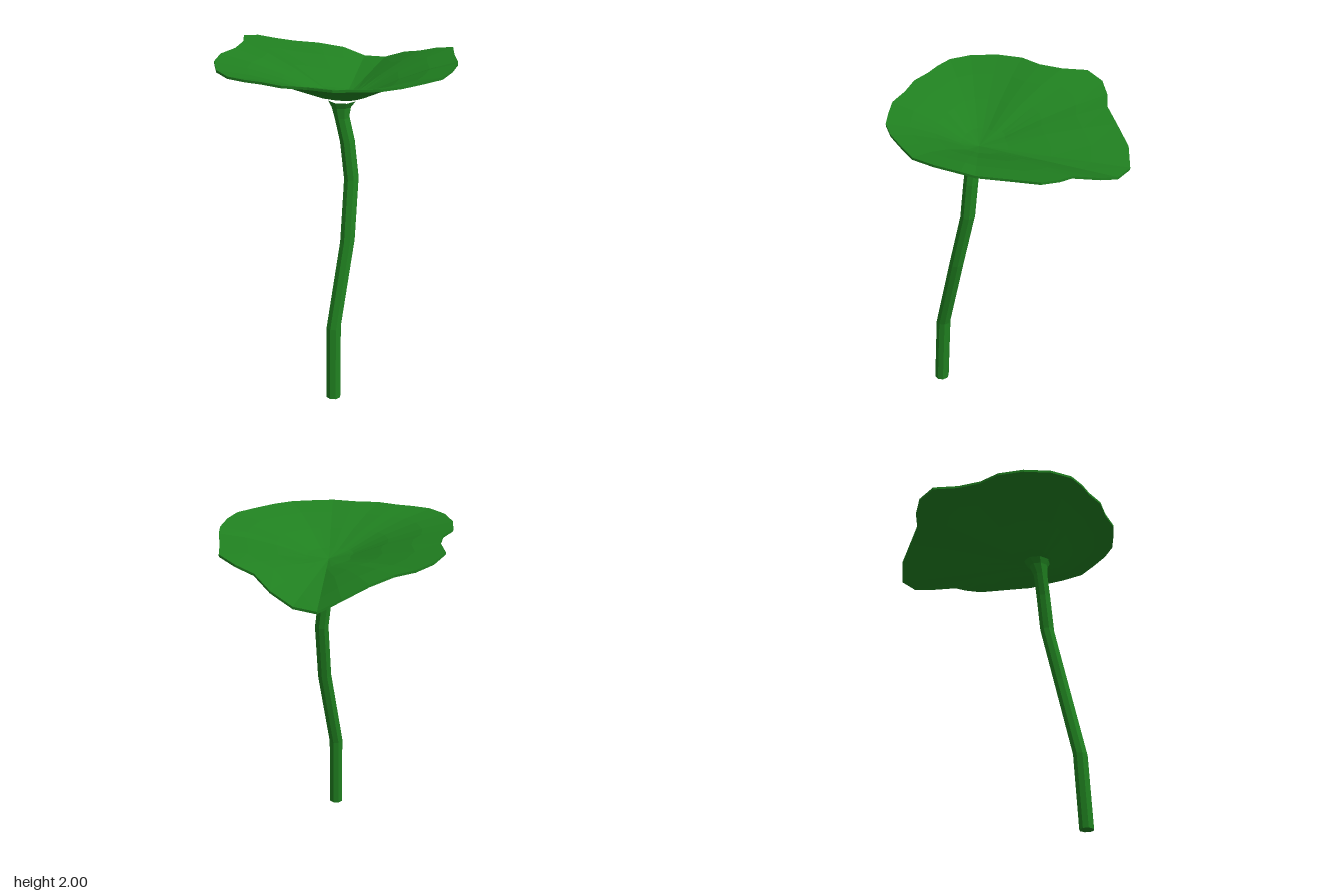
import * as THREE from 'three';

// Joins rings (bottom to top, anticlockwise about x to z) into a faceted surface, with optional end points
function loft(rings, startApex, endApex) {
  const pos = [];
  const tri = (a, b, c) => pos.push(...a, ...b, ...c);
  const n = rings[0].length;
  const last = rings[rings.length - 1];
  for (let j = 0; j < n; j++) {
    const k = (j + 1) % n;
    tri(startApex, rings[0][j], rings[0][k]);
    for (let i = 0; i < rings.length - 1; i++) {
      const p = rings[i], q = rings[i + 1];
      tri(p[j], q[j], q[k]);
      tri(p[j], q[k], p[k]);
    }
    if (endApex) tri(last[j], endApex, last[k]);
  }
  const g = new THREE.BufferGeometry();
  g.setAttribute('position', new THREE.Float32BufferAttribute(pos, 3));
  g.computeVertexNormals(); // unshared corners give flat facets
  return g;
}

// Wavy leaf rim as [x, y, z], running from the back tip round by +x
const rim = [
  [0.10, 1.78, -0.69], [0.23, 1.79, -0.64], [0.355, 1.85, -0.56], [0.45, 1.90, -0.42],
  [0.555, 1.935, -0.375], [0.65, 1.965, -0.29], [0.66, 1.97, -0.12], [0.68, 1.98, 0.05],
  [0.68, 1.995, 0.13], [0.65, 2, 0.28], [0.60, 2, 0.41], [0.50, 2, 0.50],
  [0.39, 2, 0.59], [0.28, 2, 0.65], [0.16, 2, 0.67], [0.03, 2, 0.685],
  [-0.11, 2, 0.65], [-0.25, 2, 0.635], [-0.365, 2, 0.58], [-0.46, 2, 0.55],
  [-0.56, 2, 0.50], [-0.64, 2, 0.39], [-0.68, 2, 0.23], [-0.67, 2, 0.08],
  [-0.605, 2, -0.04], [-0.58, 2, -0.18], [-0.60, 1.995, -0.33], [-0.53, 1.97, -0.43],
  [-0.43, 1.94, -0.475], [-0.315, 1.92, -0.495], [-0.18, 1.89, -0.57], [-0.03, 1.84, -0.66],
];

// Thin dished leaf: underside rings outward, then top rings back inward
function leafGeometry() {
  const [cx, cy, cz] = [0.05, 1.785, 0.18];
  const thick = 0.014;
  const profile = [[0.2, 0.16], [0.48, 0.54], [0.75, 0.82], [1, 1]]; // [spread, rise]
  const ring = ([t, f], drop) => rim.map(([x, y, z]) => [
    cx + (x - cx) * t, cy + (y - cy) * f - drop, cz + (z - cz) * t,
  ]);
  const under = profile.map((p) => ring(p, thick));
  const top = profile.map((p) => ring(p, 0)).reverse();
  return loft([...under, ...top], [cx, cy - thick, cz], [cx, cy, cz]);
}

// Bent eight-sided stalk that flares into the leaf; the flared end stays open inside it
function stalkGeometry() {
  const path = [ // x, y, z, radius
    [0.01, 0.005, 0.465, 0.044], [0.01, 0.46, 0.44, 0.044], [0.08, 0.97, 0.325, 0.044],
    [0.095, 1.33, 0.245, 0.044], [0.07, 1.55, 0.228, 0.044], [0.038, 1.69, 0.217, 0.044],
    [0.034, 1.75, 0.205, 0.058], [0.038, 1.786, 0.193, 0.084],
  ];
  const rings = path.map(([x, y, z, r]) => Array.from({ length: 8 }, (_, i) => {
    const a = (i + 0.5) * Math.PI / 4;
    return [x + r * Math.cos(a), y, z + r * Math.sin(a)];
  }));
  return loft(rings, path[0].slice(0, 3));
}

export function createModel() {
  const green = new THREE.MeshStandardMaterial({ color: 0x208020 });
  green.name = 'leafGreen';
  const model = new THREE.Group();
  model.name = 'leafPlant';
  const add = (name, geometry) => {
    const mesh = new THREE.Mesh(geometry, green);
    mesh.name = name;
    model.add(mesh);
  };
  add('leaf', leafGeometry());
  add('stalk', stalkGeometry());
  return model;
}
